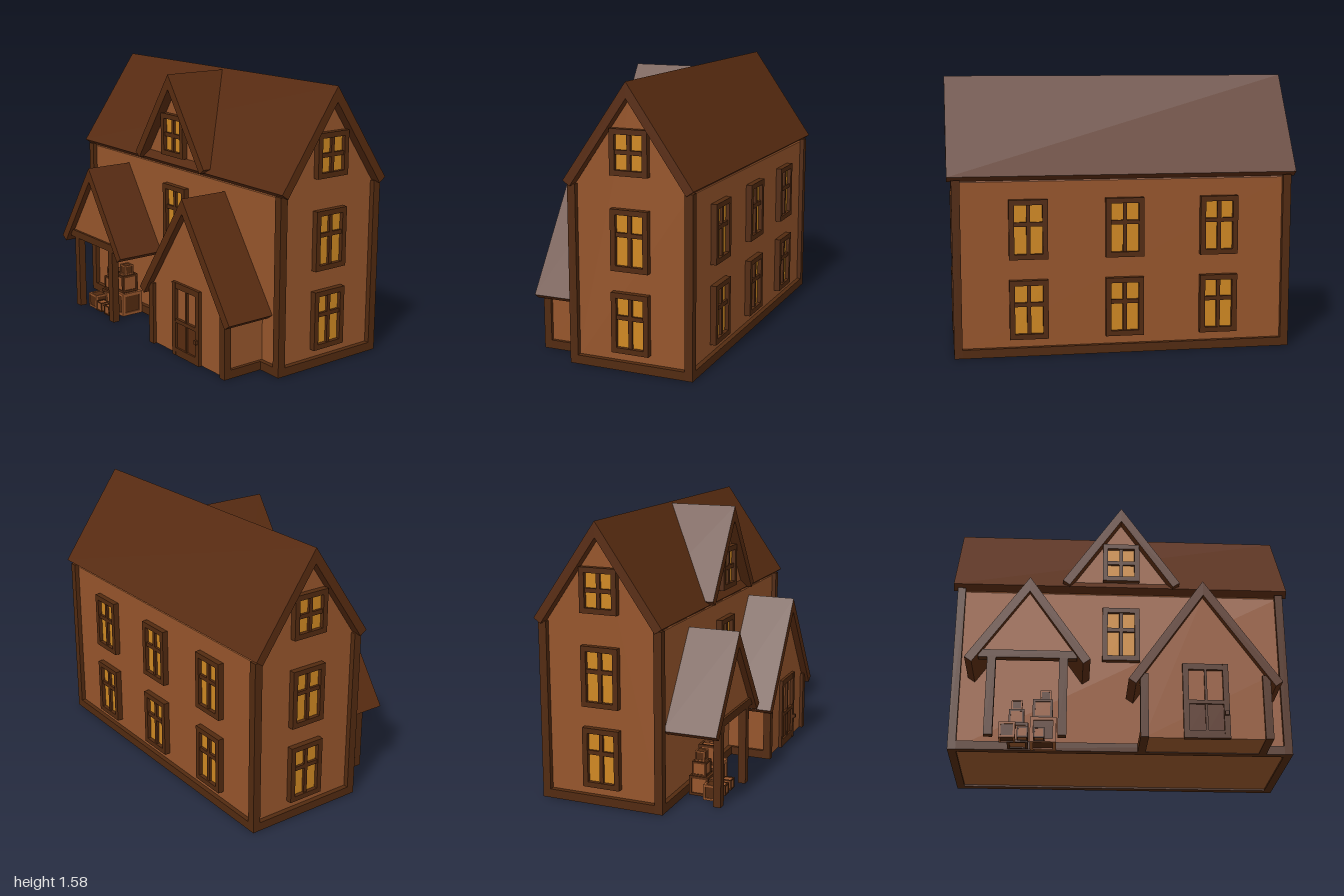
import * as THREE from 'three';

const mat = (color) => new THREE.MeshStandardMaterial({ color, flatShading: true });
const WALL = mat(0x96552b), TRIM = mat(0x522a10), ROOF = mat(0x582b10), GLASS = mat(0xcf8822);

// Box given by its min and max corners
function box(parent, name, m, x0, x1, y0, y1, z0, z1) {
  const mesh = new THREE.Mesh(new THREE.BoxGeometry(x1 - x0, y1 - y0, z1 - z0), m);
  mesh.position.set((x0 + x1) / 2, (y0 + y1) / 2, (z0 + z1) / 2);
  mesh.name = name;
  parent.add(mesh);
  return mesh;
}

// Outline extruded along z from z0 to z1
function extrude(parent, name, m, pts, z0, z1) {
  const shape = new THREE.Shape(pts.map(([x, y]) => new THREE.Vector2(x, y)));
  const geo = new THREE.ExtrudeGeometry(shape, { depth: z1 - z0, bevelEnabled: false });
  const mesh = new THREE.Mesh(geo.translate(0, 0, z0), m);
  mesh.name = name;
  parent.add(mesh);
  return mesh;
}

// Two sloping slabs with square-cut eaves
function roof(parent, name, half, eave, apex, z0, z1, t = 0.05) {
  const rise = apex - eave, len = Math.hypot(half, rise);
  const ix = half - (rise / len) * t, iy = eave - (half / len) * t;
  return extrude(parent, name, ROOF, [
    [-half, eave], [-ix, iy], [0, apex - (t * len) / half], [ix, iy], [half, eave], [0, apex],
  ], z0, z1);
}

// Wall block with a pointed top
function gable(parent, name, half, bottom, eave, apex, z0, z1) {
  const pts = [[-half, bottom], [half, bottom]];
  if (eave > bottom) pts.push([half, eave], [0, apex], [-half, eave]);
  else pts.push([0, apex]);
  return extrude(parent, name, WALL, pts, z0, z1);
}

// Window facing +z, standing on its own y = 0, with its back at z = 0
function windowUnit(name, h, railY) {
  const g = new THREE.Group(), w = 0.11, f = 0.03, d = 0.035;
  g.name = name;
  box(g, 'glass', GLASS, -w + f, w - f, f, h - f, 0, 0.012);
  for (const s of [-1, 1]) box(g, 'windowJamb', TRIM, s * (w - f / 2) - f / 2, s * (w - f / 2) + f / 2, 0, h, 0, d);
  for (const y of [0, h - f]) box(g, 'windowRail', TRIM, -w + f, w - f, y, y + f, 0, d);
  box(g, 'mullion', TRIM, -0.011, 0.011, f, h - f, 0, d - 0.008);
  box(g, 'crossbar', TRIM, -w + f, w - f, railY - 0.012, railY + 0.012, 0, d - 0.008);
  return g;
}

function addWindow(parent, name, x, y, z, turn, attic = false) {
  const win = attic ? windowUnit(name, 0.25, 0.125) : windowUnit(name, 0.34, 0.2);
  win.position.set(x, y, z);
  win.rotation.y = turn;
  parent.add(win);
}

// Crate: twelve edge bars around a recessed core
function crate(parent, x, y, z, s, light) {
  const g = new THREE.Group(), b = s * 0.13, h = s / 2;
  g.name = 'crate';
  g.position.set(x, y + h, z);
  const frame = light ? WALL : TRIM, core = light ? TRIM : WALL;
  const c = h - b * 0.4, e = h - b;
  box(g, 'cratePanels', core, -c, c, -c, c, -c, c);
  for (const i of [-1, 1]) for (const j of [-1, 1]) {
    const p = i > 0 ? [e, h] : [-h, -e], q = j > 0 ? [e, h] : [-h, -e];
    box(g, 'crateBar', frame, -h, h, ...p, ...q);
    box(g, 'crateBar', frame, ...p, -e, e, ...q);
    box(g, 'crateBar', frame, ...p, ...q, -e, e);
  }
  parent.add(g);
}

function mainHouse() {
  const g = new THREE.Group();
  g.name = 'mainHouse';
  // Body and roof run along x, so they are made along z and turned
  const body = new THREE.Group();
  body.name = 'bodyAndRoof';
  gable(body, 'walls', 0.34, 0.01, 1.0, 1.49, -0.945, 0.945);
  roof(body, 'mainRoof', 0.38, 1.035, 1.58, -1, 1);
  body.rotation.y = Math.PI / 2;
  g.add(body);
  // Corner posts and base beams
  const X = 0.975, Z = 0.367, t = 0.047;
  for (const s of [-1, 1]) {
    const zr = s > 0 ? [Z - t, Z] : [-Z, t - Z], xr = s > 0 ? [X - t, X] : [-X, t - X];
    for (const k of [-1, 1]) box(g, 'cornerPost', TRIM, ...(k > 0 ? [X - t, X] : [-X, t - X]), 0, 1.015, ...zr);
    box(g, 'baseBeam', TRIM, t - X, X - t, 0, 0.05, ...zr);
    box(g, 'baseBeam', TRIM, ...xr, 0, 0.05, t - Z, Z - t);
    // End windows
    for (const y of [0.1, 0.56]) addWindow(g, 'endWindow', s * 0.945, y, 0, s * Math.PI / 2);
    addWindow(g, 'atticWindow', s * 0.945, 1.08, 0, s * Math.PI / 2, true);
  }
  // Back and front windows
  for (const x of [-0.55, 0, 0.55]) for (const y of [0.1, 0.56]) addWindow(g, 'backWindow', x, y, -0.34, Math.PI);
  addWindow(g, 'frontWindow', 0, 0.56, 0.34, 0);
  g.position.z = -0.13;
  return g;
}

function dormer() {
  const g = new THREE.Group();
  g.name = 'dormer';
  gable(g, 'dormerWall', 0.305, 1.035, 1.035, 1.48, -0.1, 0.22);
  roof(g, 'dormerRoof', 0.35, 1.06, 1.57, -0.125, 0.28);
  addWindow(g, 'dormerWindow', 0, 1.08, 0.22, 0, true);
  return g;
}

function openPorch() {
  const g = new THREE.Group();
  g.name = 'openPorch';
  roof(g, 'porchRoof', 0.35, 0.445, 0.95, 0.2, 0.51);
  gable(g, 'porchGable', 0.265, 0.49, 0.49, 0.87, 0.45, 0.475);
  box(g, 'porchBeam', TRIM, -0.275, 0.275, 0.455, 0.5, 0.445, 0.49);
  for (const s of [-1, 1]) box(g, 'porchPost', TRIM, s * 0.2 - 0.024, s * 0.2 + 0.024, 0, 0.455, 0.445, 0.49);
  // Stacked crates: x, y, z, size, light frame
  [
    [-0.1, 0, 0.4, 0.09, true], [-0.045, 0, 0.31, 0.115, false], [-0.055, 0.115, 0.31, 0.085, false],
    [-0.055, 0.2, 0.31, 0.06, true], [0.095, 0, 0.31, 0.145, true], [0.09, 0.145, 0.31, 0.112, false],
    [0.105, 0.257, 0.31, 0.062, true], [-0.015, 0, 0.42, 0.06, false], [0.075, 0, 0.42, 0.06, false],
  ].forEach((c) => crate(g, ...c));
  g.position.x = -0.535;
  return g;
}

function entrance() {
  const g = new THREE.Group();
  g.name = 'entrance';
  gable(g, 'entranceWalls', 0.345, 0.003, 0.37, 0.865, 0.2, 0.47);
  roof(g, 'entranceRoof', 0.43, 0.333, 0.95, 0.2, 0.51);
  for (const s of [-1, 1]) {
    const xr = s > 0 ? [0.32, 0.365] : [-0.365, -0.32];
    box(g, 'entrancePost', TRIM, ...xr, 0, 0.375, 0.445, 0.49);
    box(g, 'entranceBase', TRIM, ...xr, 0, 0.05, 0.237, 0.445);
  }
  // Door with two open upper panes and two lower panels
  const door = new THREE.Group();
  door.name = 'door';
  for (const s of [-1, 1]) {
    box(door, 'doorJamb', TRIM, s * 0.112 - 0.016, s * 0.112 + 0.016, 0, 0.44, 0.46, 0.49);
    box(door, 'doorPanel', ROOF, s * 0.051 - 0.045, s * 0.051 + 0.045, 0.045, 0.2, 0.46, 0.476);
  }
  for (const [y0, y1] of [[0, 0.045], [0.2, 0.222], [0.405, 0.44]]) box(door, 'doorRail', TRIM, -0.096, 0.096, y0, y1, 0.46, 0.488);
  box(door, 'doorMullion', TRIM, -0.007, 0.007, 0.045, 0.405, 0.46, 0.485);
  box(door, 'doorKnob', TRIM, 0.1, 0.122, 0.132, 0.155, 0.488, 0.505);
  g.add(door);
  g.position.x = 0.457;
  return g;
}

export function createModel() {
  const model = new THREE.Group();
  model.name = 'house';
  model.add(mainHouse(), dormer(), openPorch(), entrance());
  return model;
}
